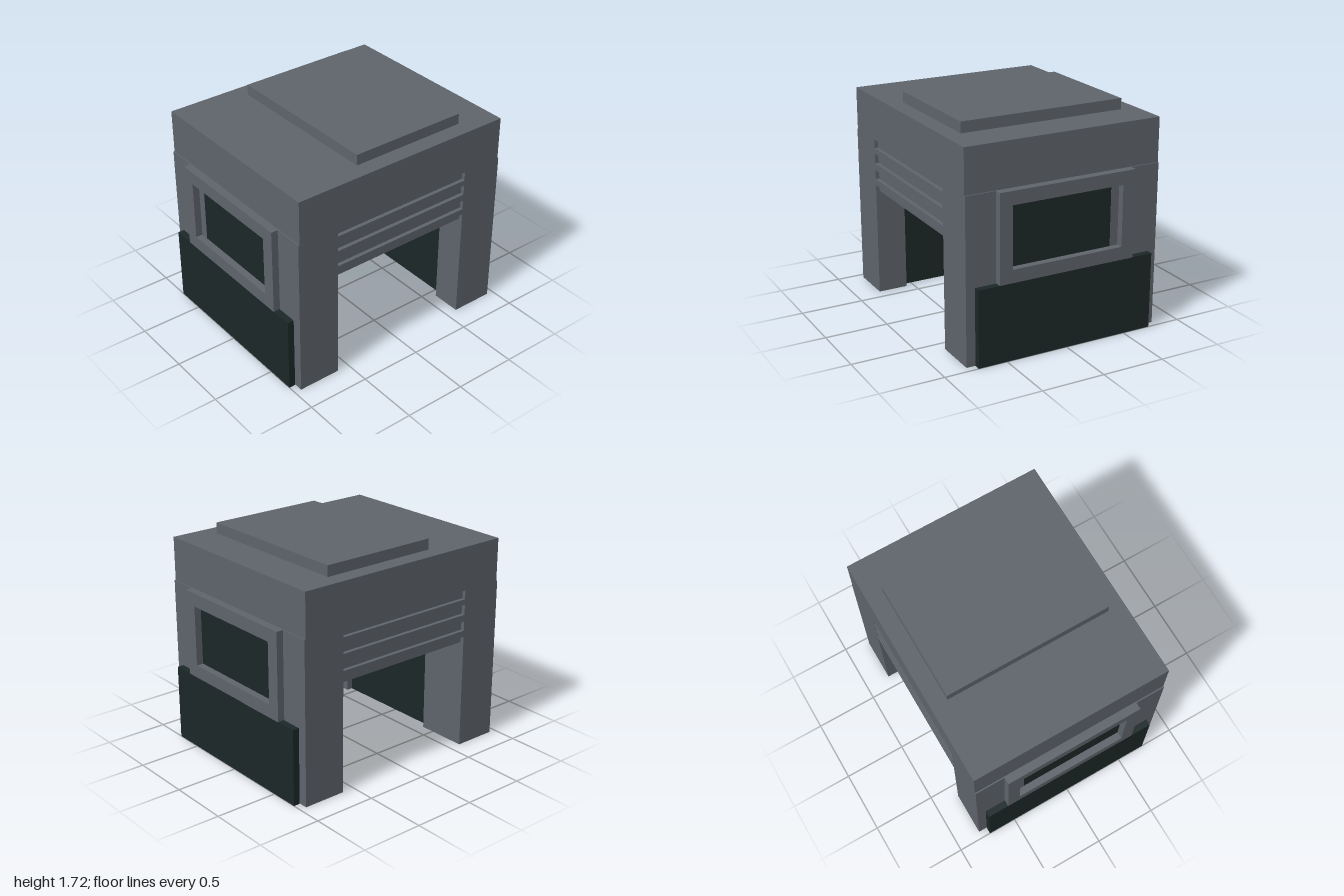
import * as THREE from 'three';

export function createModel() {
  const model = new THREE.Group();
  model.name = 'gateHouse';
  const grey = new THREE.MeshStandardMaterial({ color: 0x5e646b, side: THREE.DoubleSide });
  grey.name = 'slate grey';
  const dark = new THREE.MeshStandardMaterial({ color: 0x1b2727, side: THREE.DoubleSide });
  dark.name = 'dark green grey';

  const add = (name, geometry, material) => {
    const mesh = new THREE.Mesh(geometry, material);
    mesh.name = name;
    model.add(mesh);
  };

  // Box given by its extents on each axis
  const box = (name, material, [x0, x1], [y0, y1], [z0, z1], openBottom = false) => {
    const g = new THREE.BoxGeometry(x1 - x0, y1 - y0, z1 - z0);
    if (openBottom) {
      // Leave out the two triangles of the underside
      const index = Array.from(g.index.array);
      index.splice(18, 6);
      g.setIndex(index);
      g.clearGroups();
    }
    g.translate((x0 + x1) / 2, (y0 + y1) / 2, (z0 + z1) / 2);
    add(name, g, material);
  };

  // Roof block, raised roof plate and inner ceiling
  box('roofBlock', grey, [-0.8, 0.8], [1.29, 1.635], [-0.935, 0.935]);
  box('roofPlate', grey, [-0.667, 0.667], [1.635, 1.72], [-0.63, 0.33]);
  box('ceiling', grey, [-0.65, 0.65], [1.21, 1.29], [-0.66, 0.66]);

  // Window surround with a rectangular opening
  const rect = (T, x0, x1, y0, y1) => {
    const s = new T();
    s.moveTo(x0, y0);
    s.lineTo(x1, y0);
    s.lineTo(x1, y1);
    s.lineTo(x0, y1);
    s.closePath();
    return s;
  };
  const surround = rect(THREE.Shape, -0.56, 0.56, 0.6, 1.29);
  surround.holes.push(rect(THREE.Path, -0.457, 0.455, 0.705, 1.185));

  for (const side of [1, -1]) {
    const end = side > 0 ? 'front' : 'back';
    const span = (a, b) => (side > 0 ? [a, b] : [-b, -a]);

    // Hollow legs, the right one wider
    box(end + 'LeftLeg', grey, [0.56, 0.8], [0, 1.29], span(0.6, 0.945), true);
    box(end + 'RightLeg', grey, [-0.8, -0.39], [0, 1.29], span(0.6, 0.945), true);

    // Dark infill between the legs; the upper block shows in the window
    box(end + 'LowerInfill', dark, [-0.39, 0.56], [0, 0.6], span(0.65, 0.944), true);
    box(end + 'WindowInfill', dark, [-0.39, 0.56], [0.6, 1.25], span(0.66, 0.944));
    box(end + 'Panel', dark, [-0.73, 0.73], [0, 0.603], span(0.948, 1), true);

    const g = new THREE.ExtrudeGeometry(surround, { depth: 0.065, bevelEnabled: false });
    g.translate(0, 0, side > 0 ? 0.935 : -1);
    add(end + 'WindowSurround', g, grey);
  }

  // Side walls over the openings: recessed panel with slats between the grooves
  const slats = [[0.915, 0.965], [1.04, 1.095], [1.175, 1.22]];
  for (const side of [1, -1]) {
    const name = side > 0 ? 'left' : 'right';
    const span = (a, b) => (side > 0 ? [a, b] : [-b, -a]);
    box(name + 'SideWall', grey, span(0.65, 0.77), [0.863, 1.29], [-0.6, 0.6]);
    for (const y of slats) box(name + 'Slat', grey, span(0.77, 0.8), y, [-0.6, 0.6]);
  }

  return model;
}
